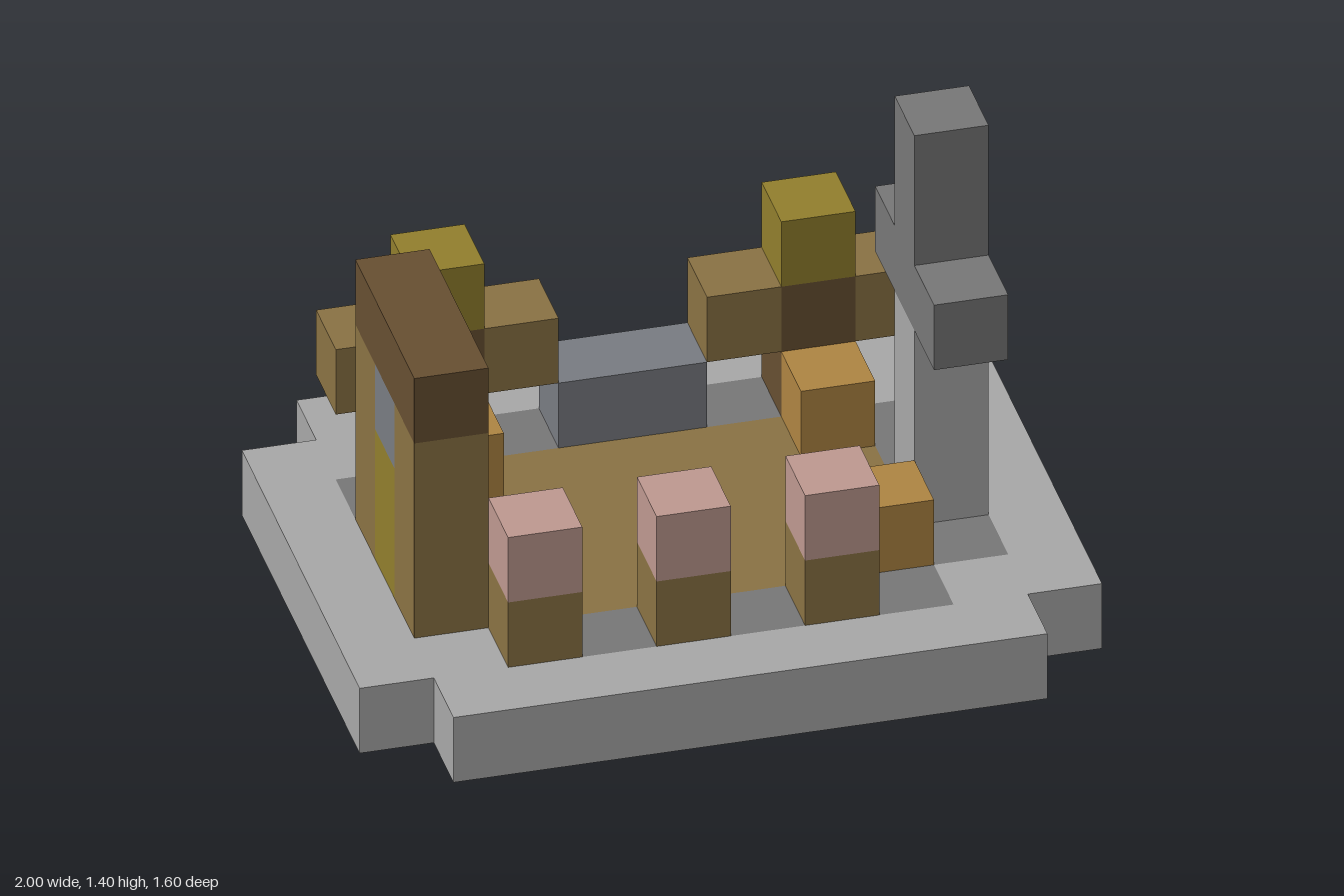
import * as THREE from 'three';

const U = 0.2; // one block

const mat = (name, color) => {
  const m = new THREE.MeshStandardMaterial({ color });
  m.name = name;
  return m;
};

// Stepped, plus-like outline, counter-clockwise from its back left corner
const stepped = (a, b, c, d) => [
  [-c, d], [-c, b], [-a, b], [-a, -b], [-c, -b], [-c, -d],
  [c, -d], [c, -b], [a, -b], [a, b], [c, b], [c, d],
];
const vec = (pts) => pts.map(([x, y]) => new THREE.Vector2(x, y));

export function createModel() {
  const model = new THREE.Group();
  model.name = 'walledYard';

  const stone = mat('light stone', 0xa9a9a9);
  const darkStone = mat('dark stone', 0x787878);
  const slate = mat('blue grey slate', 0x7a7d83);
  const wood = mat('wood', 0x8b7344);
  const darkWood = mat('dark wood', 0x685032);
  const orange = mat('orange wood', 0xb08643);
  const olive = mat('olive yellow', 0x93802d);
  const pink = mat('pink', 0xc09a91);

  const group = (name) => {
    const g = new THREE.Group();
    g.name = name;
    model.add(g);
    return g;
  };

  // Box given by its centre x, z, its bottom y and its size in blocks
  const block = (parent, name, material, x, y, z, w = 1, h = 1, d = 1) => {
    const mesh = new THREE.Mesh(new THREE.BoxGeometry(w * U, h * U, d * U), material);
    mesh.position.set(x, y + (h * U) / 2, z);
    mesh.name = name;
    parent.add(mesh);
  };

  // Flat slab of one block's height, resting on the ground
  const slab = (parent, name, material, outline, hole) => {
    const shape = new THREE.Shape(vec(outline));
    if (hole) shape.holes.push(new THREE.Path(vec(hole)));
    const geo = new THREE.ExtrudeGeometry(shape, { depth: U, bevelEnabled: false });
    geo.rotateX(-Math.PI / 2);
    const mesh = new THREE.Mesh(geo, material);
    mesh.name = name;
    parent.add(mesh);
  };

  // Base: stone rim, dark floor, wooden middle and a sill under the back step
  const base = group('base');
  const floorLine = stepped(0.8, 0.4, 0.6, 0.6);
  const plankLine = stepped(0.6, 0.2, 0.4, 0.4);
  slab(base, 'rim', stone, stepped(1, 0.6, 0.8, 0.8), floorLine);
  slab(base, 'floor', darkStone, [
    [-0.2, 0.6], ...floorLine, [0.2, 0.6],
    [0.2, 0.4], ...[...plankLine].reverse(), [-0.2, 0.4],
  ]);
  slab(base, 'woodenFloor', wood, plankLine);
  block(base, 'sill', darkWood, 0, 0, -0.5, 2, 1, 1);
  block(model, 'backStep', slate, 0, 0.2, -0.5, 2, 1, 1);

  // Front posts with pink caps
  for (const x of [-0.5, -0.1, 0.3]) {
    const post = group('frontPost');
    block(post, 'post', wood, x, 0.2, 0.5);
    block(post, 'cap', pink, x, 0.4, 0.5);
  }

  for (const side of [-1, 1]) {
    // Corner stools
    for (const z of [-0.3, 0.3]) block(model, 'stool', orange, side * 0.5, 0.2, z);

    // Back posts with arms and a yellow top
    const post = group('backPost');
    block(post, 'trunk', darkWood, side * 0.5, 0.2, -0.5, 1, 2, 1);
    for (const arm of [-U, U]) block(post, 'arm', wood, side * 0.5 + arm, 0.4, -0.5);
    block(post, 'top', olive, side * 0.5, 0.6, -0.5);
  }

  // Doorway on the right side
  const doorway = group('doorway');
  for (const z of [-0.1, 0.3]) block(doorway, 'doorPost', wood, -0.7, 0.2, z, 1, 3, 1);
  block(doorway, 'door', olive, -0.7, 0.2, 0.1, 1, 2, 1);
  block(doorway, 'doorWindow', slate, -0.7, 0.6, 0.1);
  block(doorway, 'lintel', darkWood, -0.7, 0.8, 0.1, 1, 1, 3);

  // Tall cross on the left side
  const cross = group('cross');
  block(cross, 'shaft', stone, 0.7, 0.2, 0.1, 1, 3, 1);
  block(cross, 'crossTop', darkStone, 0.7, 0.8, 0.1, 1, 3, 1);
  for (const z of [-0.1, 0.3]) block(cross, 'crossArm', darkStone, 0.7, 0.8, z);

  return model;
}
